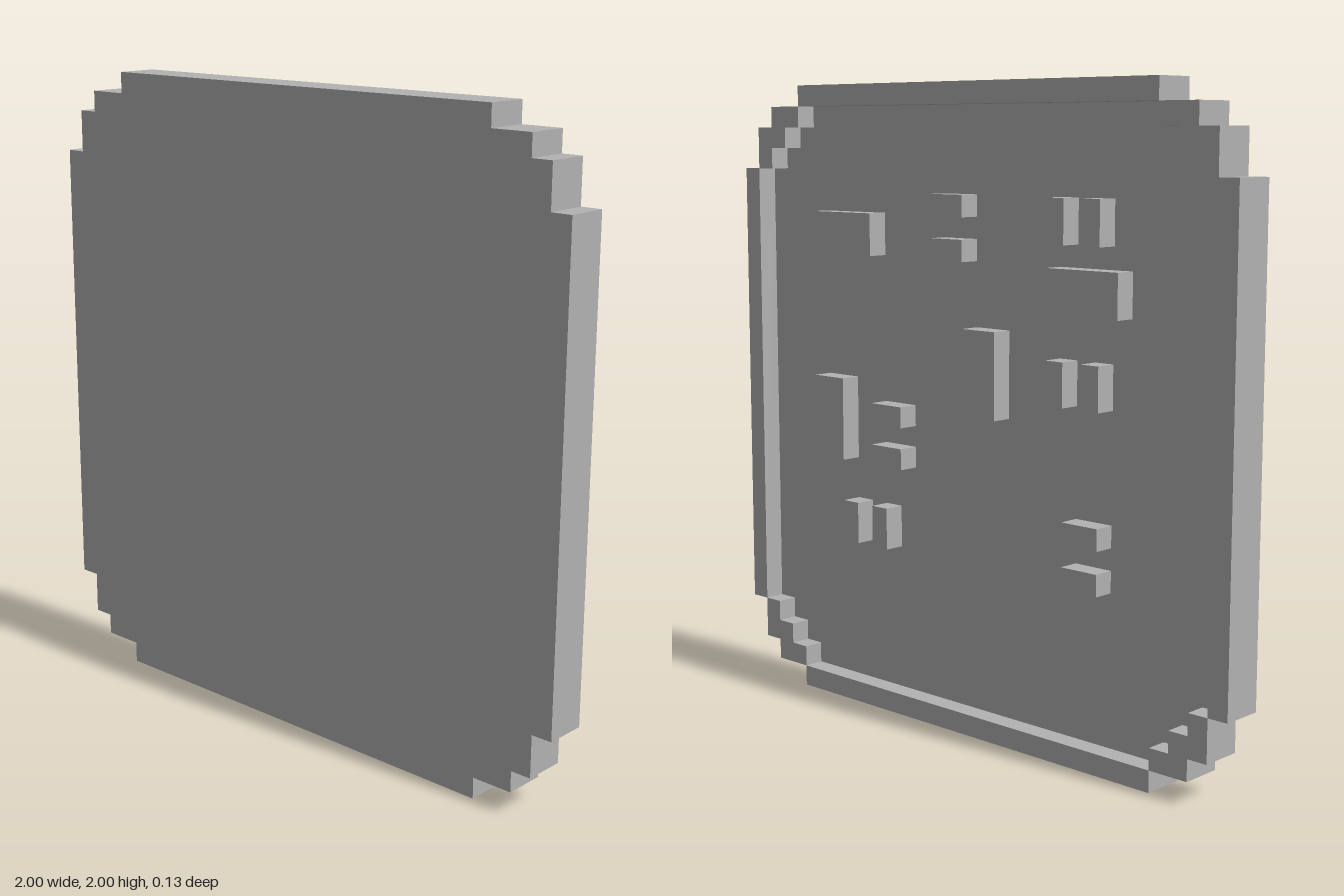
import * as THREE from 'three';

const U = 2 / 30; // one grid cell; the panel is 30 x 30 cells and 2 cells thick

export function createModel() {
  const model = new THREE.Group();
  model.name = 'circuitPanel';
  const grey = new THREE.MeshStandardMaterial({ color: 0xb2b2b2 });
  grey.name = 'grey';

  const add = (name, geometry, parent = model) => {
    const mesh = new THREE.Mesh(geometry, grey);
    mesh.name = name;
    parent.add(mesh);
    return mesh;
  };

  // Extrudes a stepped outline (in cells, origin at bottom centre) from z0 by one cell
  const slab = (points, z0) => {
    const shape = new THREE.Shape(points.map(([x, y]) => new THREE.Vector2(x * U, y * U)));
    return new THREE.ExtrudeGeometry(shape, { depth: U, bevelEnabled: false }).translate(0, 0, z0);
  };

  // Box on the back of the panel spanning cells x0..x1, y0..y1
  const backBox = (x0, x1, y0, y1) =>
    new THREE.BoxGeometry((x1 - x0) * U, (y1 - y0) * U, U)
      .translate((x0 + x1) / 2 * U, (y0 + y1) / 2 * U, -U / 2);

  // Places a point measured inwards from a corner
  const corner = (sx, sy) => ([a, b]) => [sx * (15 - a), 15 + sy * (15 - b)];

  // Front plate with stepped corners
  const steps = [[0, 4], [1, 4], [1, 2], [2, 2], [2, 1], [4, 1], [4, 0]];
  const back = [...steps].reverse();
  add('frontPlate', slab([
    ...steps.map(corner(-1, -1)),
    ...back.map(corner(1, -1)),
    ...steps.map(corner(1, 1)),
    ...back.map(corner(-1, 1)),
  ], 0));

  // Raised rim: four straight bars and four stepped corners
  const rim = new THREE.Group();
  rim.name = 'rim';
  model.add(rim);
  add('rimBottom', backBox(-11, 11, 0, 1), rim);
  add('rimTop', backBox(-11, 11, 29, 30), rim);
  add('rimLeft', backBox(14, 15, 4, 26), rim);
  add('rimRight', backBox(-15, -14, 4, 26), rim);
  const cornerSteps = [[1, 4], [2, 4], [2, 3], [3, 3], [3, 2], [4, 2], [4, 1], [2, 1], [2, 2], [1, 2]];
  for (const sx of [-1, 1]) {
    for (const sy of [-1, 1]) add('rimCorner', slab(cornerSteps.map(corner(sx, sy)), -U), rim);
  }

  // Chips on the back: x0, x1, y0, y1 in cells
  const largeChips = [[6, 10, 22, 24], [-9, -5, 20, 22], [8, 10, 12, 16], [-2, 0, 15, 19]];
  largeChips.forEach((c) => add('largeChip', backBox(...c)));

  // Pairs of small upright chips, one cell apart: x0, y0
  for (const [x, y] of [[-8, 23], [-8, 16], [5, 8]]) {
    for (const dx of [0, 2]) add('uprightChip', backBox(x + dx, x + dx + 1, y, y + 2));
  }

  // Pairs of small flat chips, one cell apart: x0, y0
  for (const [x, y] of [[0, 22], [4, 12], [-8, 8]]) {
    for (const dy of [0, 2]) add('flatChip', backBox(x, x + 2, y + dy, y + dy + 1));
  }

  return model;
}
